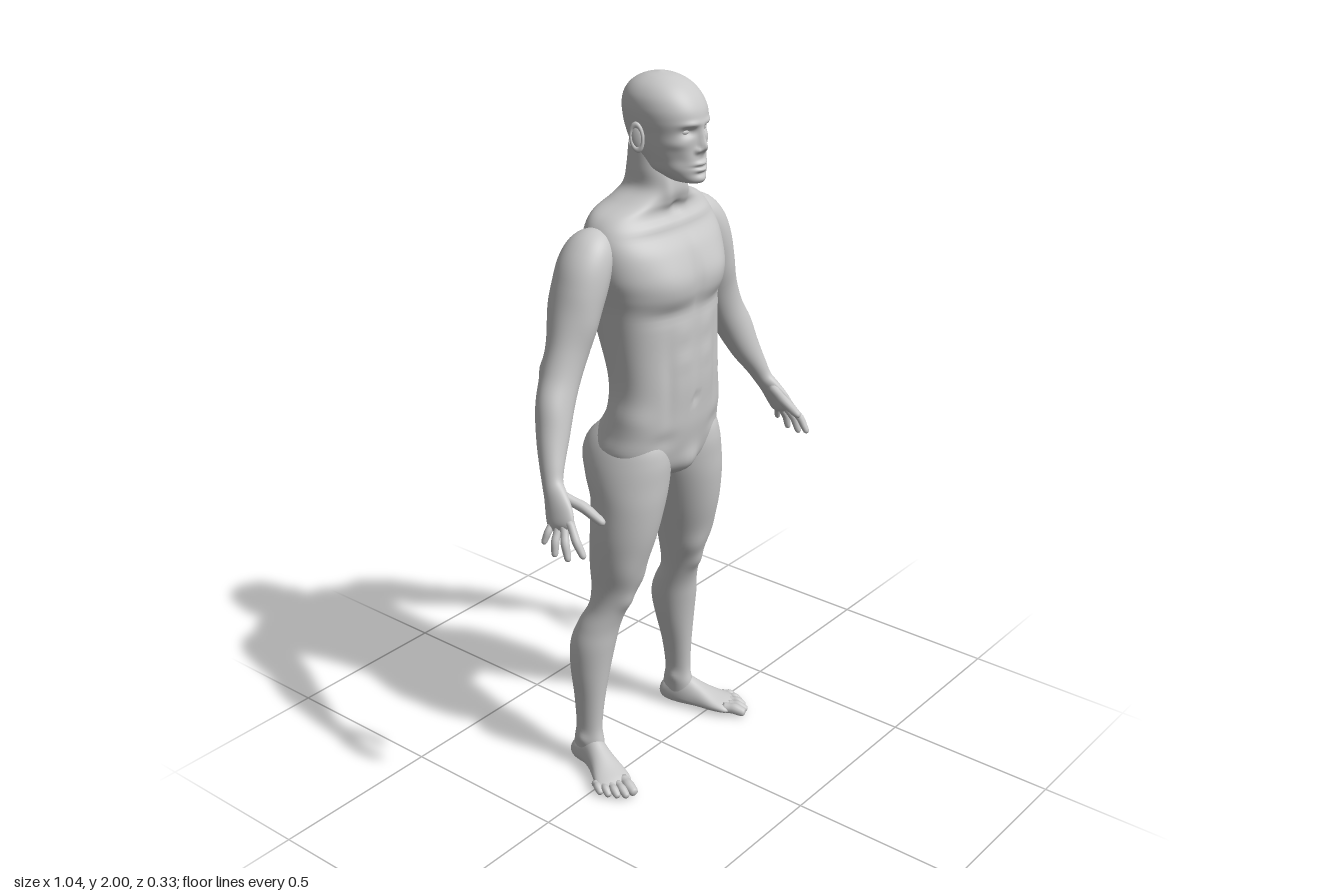
import * as THREE from 'three';

const skin = new THREE.MeshStandardMaterial({ color: 0xc8c8c8 });
skin.name = 'skin grey';
const V = (x, y, z) => new THREE.Vector3(x, y, z);

// Smooth skin over sections [x, y, z, halfWidth, frontDepth, backDepth].
// "front" is the direction of frontDepth; level sections stay horizontal.
function loft(sections, { segs = 40, steps = 6, power = 1, front = V(0, 0, 1), level = false } = {}) {
  const path = new THREE.CatmullRomCurve3(sections.map(s => V(s[0], s[1], s[2])), false, 'catmullrom');
  const size = new THREE.CatmullRomCurve3(sections.map(s => V(s[3], s[4], s[5])), false, 'catmullrom');
  const rows = (sections.length - 1) * steps, pos = [], idx = [];
  const bend = c => Math.sign(c) * Math.abs(c) ** power;
  for (let i = 0; i <= rows; i++) {
    const c = path.getPoint(i / rows), s = size.getPoint(i / rows);
    const t = path.getTangent(i / rows);
    if (level) t.set(0, Math.sign(t.y), 0);
    const v = front.clone().addScaledVector(t, -front.dot(t)).normalize();
    const u = v.clone().cross(t);
    for (let j = 0; j < segs; j++) {
      const a = (j / segs) * Math.PI * 2, sn = Math.sin(a);
      const depth = Math.max(0.001, sn > 0 ? s.y : s.z);
      const p = c.clone().addScaledVector(u, Math.max(0.001, s.x) * bend(Math.cos(a)))
        .addScaledVector(v, depth * bend(sn));
      pos.push(p.x, p.y, p.z);
    }
  }
  for (let i = 0; i < rows; i++) for (let j = 0; j < segs; j++) {
    const k = (j + 1) % segs, a = i * segs + j, b = i * segs + k;
    idx.push(a, b, b + segs, a, b + segs, a + segs);
  }
  // End caps
  const first = pos.length / 3, p0 = path.getPoint(0), p1 = path.getPoint(1);
  pos.push(p0.x, p0.y, p0.z, p1.x, p1.y, p1.z);
  for (let j = 0; j < segs; j++) {
    const k = (j + 1) % segs, e = rows * segs;
    idx.push(first, k, j, first + 1, e + j, e + k);
  }
  const g = new THREE.BufferGeometry();
  g.setAttribute('position', new THREE.Float32BufferAttribute(pos, 3));
  g.setIndex(idx);
  g.computeVertexNormals();
  return g;
}

// Swell or dent a surface: [x, y, z, rx, ry, rz, amount], mirrored in x.
function sculpt(g, bumps) {
  const p = g.attributes.position, n = g.attributes.normal;
  const all = bumps.flatMap(b => (b[0] ? [b, [-b[0], ...b.slice(1)]] : [b]));
  for (let i = 0; i < p.count; i++) {
    const x = p.getX(i), y = p.getY(i), z = p.getZ(i);
    let d = 0;
    for (const [bx, by, bz, rx, ry, rz, amt] of all)
      d += amt * Math.exp(-(((x - bx) / rx) ** 2) - ((y - by) / ry) ** 2 - ((z - bz) / rz) ** 2);
    p.setXYZ(i, x + n.getX(i) * d, y + n.getY(i) * d, z + n.getZ(i) * d);
  }
  g.computeVertexNormals();
  return g;
}

function mirrored(g) {
  const m = g.clone().scale(-1, 1, 1), a = m.index.array;
  for (let i = 0; i < a.length; i += 3) [a[i], a[i + 1]] = [a[i + 1], a[i]];
  m.computeVertexNormals();
  return m;
}

// Finger or toe through three points, with a rounded tip
function digit(a, b, c, r, front) {
  const A = V(...a), B = V(...b), C = V(...c);
  const at = (p, q, k, s) => [...p.clone().lerp(q, k).toArray(), r * s, r * s, r * s];
  return loft([at(A, B, 0, 1), at(A, B, 0.55, 0.93), at(B, C, 0, 1), at(B, C, 0.5, 0.9),
    at(B, C, 0.85, 0.75), at(B, C, 0.97, 0.4), at(B, C, 1, 0.05)], { segs: 12, steps: 3, front });
}

// Level section from its front and back positions
const slab = (y, rx, zf, zb, x = 0) => [x, y, (zf + zb) / 2, rx, (zf - zb) / 2, (zf - zb) / 2];

export function createModel() {
  const model = new THREE.Group();
  model.name = 'standing man';
  const add = (name, g) => {
    const m = new THREE.Mesh(g, skin);
    m.name = name;
    model.add(m);
  };
  const pair = (name, g) => {
    add('left ' + name, g);
    add('right ' + name, mirrored(g));
  };

  // Neck, chest, waist and pelvis
  const torso = loft([
    slab(1.82, 0.064, 0.03, -0.085), slab(1.76, 0.069, 0.05, -0.092), slab(1.71, 0.074, 0.058, -0.104),
    slab(1.678, 0.115, 0.052, -0.124), slab(1.65, 0.18, 0.045, -0.142), slab(1.61, 0.21, 0.066, -0.155),
    slab(1.56, 0.217, 0.1, -0.163), slab(1.5, 0.215, 0.118, -0.165), slab(1.45, 0.203, 0.121, -0.162),
    slab(1.4, 0.192, 0.115, -0.154), slab(1.3, 0.18, 0.117, -0.132), slab(1.2, 0.173, 0.121, -0.107),
    slab(1.12, 0.179, 0.117, -0.105), slab(1.06, 0.192, 0.113, -0.127), slab(1.0, 0.2, 0.102, -0.145),
    slab(0.95, 0.165, 0.088, -0.13), slab(0.915, 0.08, 0.06, -0.08), slab(0.9, 0.02, 0.02, -0.04),
  ], { segs: 112, steps: 6, power: 0.86, level: true });
  add('torso', sculpt(torso, [
    [0.085, 1.475, 0.11, 0.075, 0.06, 0.07, 0.013], // chest muscles
    [0.09, 1.395, 0.11, 0.075, 0.02, 0.06, -0.006],
    [0, 1.48, 0.12, 0.014, 0.08, 0.05, -0.009],
    [0.07, 1.62, 0.05, 0.09, 0.012, 0.06, 0.006], // collarbones
    [0, 1.655, 0.055, 0.018, 0.018, 0.04, -0.008],
    [0.035, 1.7, 0.05, 0.014, 0.05, 0.04, 0.005],
    [0, 1.24, 0.12, 0.012, 0.12, 0.05, -0.004], // stomach
    [0.095, 1.2, 0.1, 0.018, 0.12, 0.05, -0.005],
    [0.045, 1.34, 0.12, 0.03, 0.025, 0.05, 0.003],
    [0.045, 1.26, 0.12, 0.03, 0.025, 0.05, 0.003],
    [0, 1.14, 0.12, 0.009, 0.011, 0.04, -0.008],
    [0.17, 1.11, 0.03, 0.04, 0.035, 0.09, 0.006],
    [0.11, 1.04, 0.1, 0.04, 0.025, 0.05, -0.005],
    [0, 0.955, 0.08, 0.035, 0.04, 0.05, 0.016],
    [0, 1.36, -0.15, 0.022, 0.26, 0.08, -0.014], // spine and back
    [0.1, 1.53, -0.15, 0.06, 0.08, 0.06, 0.007],
    [0.15, 1.42, -0.11, 0.05, 0.09, 0.06, 0.008],
    [0.045, 1.2, -0.11, 0.03, 0.12, 0.05, 0.006],
    [0.09, 1.0, -0.14, 0.065, 0.06, 0.07, 0.02], // buttocks
    [0, 0.99, -0.14, 0.016, 0.07, 0.07, -0.025],
  ]));

  // Head with a modelled face
  const head = loft([
    slab(1.732, 0.018, 0.118, 0.07), slab(1.74, 0.04, 0.129, 0.03), slab(1.765, 0.058, 0.131, -0.015),
    slab(1.795, 0.071, 0.129, -0.055), slab(1.825, 0.079, 0.126, -0.083), slab(1.86, 0.085, 0.127, -0.098),
    slab(1.89, 0.09, 0.129, -0.104), slab(1.92, 0.091, 0.123, -0.106), slab(1.95, 0.084, 0.104, -0.098),
    slab(1.975, 0.066, 0.076, -0.078), slab(1.992, 0.038, 0.04, -0.046), slab(2.0, 0.004, 0, -0.006),
  ], { segs: 128, steps: 9, power: 0.94, level: true });
  add('head', sculpt(head, [
    [0.035, 1.867, 0.11, 0.018, 0.012, 0.04, -0.012], // eye sockets and brows
    [0.03, 1.887, 0.12, 0.024, 0.008, 0.04, 0.005],
    [0, 1.855, 0.13, 0.008, 0.022, 0.04, 0.01], // nose
    [0, 1.828, 0.13, 0.01, 0.017, 0.04, 0.02],
    [0.014, 1.819, 0.12, 0.007, 0.008, 0.03, 0.009],
    [0.052, 1.838, 0.09, 0.02, 0.014, 0.04, 0.004], // cheeks
    [0.05, 1.795, 0.09, 0.018, 0.02, 0.04, -0.005],
    [0, 1.785, 0.13, 0.02, 0.006, 0.04, 0.009], // lips and chin
    [0, 1.769, 0.13, 0.017, 0.006, 0.04, 0.009],
    [0, 1.777, 0.13, 0.024, 0.0025, 0.04, -0.006],
    [0, 1.759, 0.13, 0.02, 0.006, 0.04, -0.004],
    [0, 1.745, 0.13, 0.02, 0.01, 0.04, 0.005],
    [0.058, 1.768, 0.02, 0.02, 0.02, 0.04, 0.006],
  ]));
  const eye = new THREE.SphereGeometry(0.0135, 20, 14).scale(1.1, 0.65, 0.8);
  pair('eye', eye.translate(0.034, 1.867, 0.1));

  // Ears: a curled rim around a thin shell
  const place = g => g.rotateY(Math.PI / 2 - 0.35).rotateX(-0.12).translate(0.094, 1.848, -0.004);
  pair('ear rim', place(new THREE.TorusGeometry(0.02, 0.0055, 10, 32).scale(0.8, 1.55, 1)));
  pair('ear shell', place(new THREE.SphereGeometry(0.02, 20, 14).scale(0.75, 1.45, 0.25)));

  // Legs
  const leg = loft([
    slab(1.08, 0.05, 0.05, -0.09, 0.105), slab(1.03, 0.085, 0.085, -0.145, 0.107),
    slab(0.98, 0.103, 0.096, -0.164, 0.109), slab(0.92, 0.108, 0.095, -0.147, 0.115),
    slab(0.85, 0.1, 0.09, -0.12, 0.126), slab(0.75, 0.088, 0.073, -0.118, 0.139),
    slab(0.65, 0.07, 0.044, -0.12, 0.147), slab(0.58, 0.058, 0.02, -0.115, 0.152),
    slab(0.52, 0.055, -0.004, -0.118, 0.161), slab(0.46, 0.062, -0.024, -0.145, 0.174),
    slab(0.4, 0.065, -0.034, -0.163, 0.185), slab(0.32, 0.056, -0.045, -0.163, 0.193),
    slab(0.22, 0.039, -0.055, -0.15, 0.201), slab(0.13, 0.031, -0.06, -0.143, 0.206),
    slab(0.08, 0.033, -0.052, -0.15, 0.207), slab(0.03, 0.03, -0.055, -0.155, 0.207),
    slab(0.01, 0.022, -0.07, -0.14, 0.207),
  ], { segs: 48, level: true });
  pair('leg', sculpt(leg, [
    [0.158, 0.545, 0.01, 0.025, 0.028, 0.04, 0.007], // kneecap
    [0.12, 0.62, 0.02, 0.03, 0.04, 0.05, 0.006], // thigh muscles
    [0.19, 0.66, 0.02, 0.03, 0.05, 0.05, 0.005],
    [0.155, 0.54, -0.12, 0.025, 0.05, 0.04, -0.005],
    [0.15, 0.4, -0.14, 0.025, 0.06, 0.04, 0.005], // calf
    [0.175, 0.105, -0.1, 0.015, 0.018, 0.02, 0.006], // ankle bones
    [0.24, 0.095, -0.105, 0.015, 0.018, 0.02, 0.006],
  ]));

  // Feet and toes
  const up = V(0, 1, 0);
  pair('foot', loft([
    [0.203, 0.035, -0.162, 0.008, 0.01, 0.012], [0.204, 0.035, -0.152, 0.026, 0.026, 0.026],
    [0.206, 0.035, -0.13, 0.034, 0.045, 0.034], [0.212, 0.035, -0.085, 0.036, 0.065, 0.033],
    [0.228, 0.03, -0.04, 0.04, 0.05, 0.026], [0.25, 0.026, 0.01, 0.05, 0.026, 0.025],
    [0.267, 0.02, 0.042, 0.052, 0.016, 0.018], [0.276, 0.018, 0.06, 0.038, 0.008, 0.012],
  ], { front: up, segs: 32 }));
  [[0.238, 0.05, 0.262, 0.115, 0.0165], [0.262, 0.05, 0.285, 0.106, 0.0125], [0.28, 0.04, 0.301, 0.086, 0.012],
    [0.293, 0.022, 0.313, 0.063, 0.0115], [0.3, 0, 0.319, 0.038, 0.0115]].forEach(([x, z, tx, tz, r], i) =>
    pair('toe ' + (i + 1), digit([x, 0.021, z], [(x + tx) / 2 + 0.002, 0.022, (z + tz) / 2],
      [tx, r * 0.85, tz], r, up)));

  // Arms from shoulder to palm
  const arm = loft([
    [0.165, 1.605, -0.055, 0.02, 0.03, 0.03], [0.205, 1.582, -0.055, 0.053, 0.06, 0.065],
    [0.238, 1.54, -0.055, 0.065, 0.072, 0.077], [0.262, 1.48, -0.056, 0.065, 0.073, 0.075],
    [0.288, 1.41, -0.054, 0.063, 0.062, 0.066], [0.316, 1.335, -0.052, 0.058, 0.052, 0.058],
    [0.345, 1.27, -0.052, 0.055, 0.05, 0.052], [0.375, 1.21, -0.045, 0.052, 0.049, 0.049],
    [0.411, 1.13, -0.024, 0.043, 0.041, 0.043], [0.439, 1.07, -0.004, 0.031, 0.033, 0.034],
    [0.455, 1.03, 0.011, 0.024, 0.029, 0.029], [0.466, 1.0, 0.03, 0.021, 0.036, 0.034],
    [0.477, 0.967, 0.05, 0.018, 0.043, 0.042], [0.485, 0.942, 0.063, 0.015, 0.042, 0.042],
    [0.489, 0.928, 0.069, 0.008, 0.033, 0.033],
  ], { segs: 44 });
  pair('arm', sculpt(arm, [
    [0.305, 1.5, -0.04, 0.04, 0.06, 0.06, 0.005], // shoulder cap
    [0.29, 1.4, 0.01, 0.04, 0.06, 0.04, 0.006], // biceps
    [0.31, 1.43, -0.12, 0.04, 0.06, 0.04, 0.006], // triceps
    [0.36, 1.285, -0.1, 0.022, 0.025, 0.025, 0.006], // elbow
    [0.42, 1.21, -0.03, 0.03, 0.05, 0.04, 0.005],
  ]));

  // Fingers and thumb
  const ahead = V(0, 0, 1);
  [['index finger', [0.481, 0.955, 0.09], [0.494, 0.914, 0.122], [0.494, 0.874, 0.148], 0.0115],
    ['middle finger', [0.485, 0.943, 0.074], [0.504, 0.903, 0.093], [0.51, 0.859, 0.108], 0.0115],
    ['ring finger', [0.485, 0.938, 0.056], [0.507, 0.9, 0.062], [0.515, 0.861, 0.066], 0.011],
    ['little finger', [0.48, 0.947, 0.036], [0.503, 0.917, 0.034], [0.514, 0.885, 0.027], 0.0098],
    ['thumb', [0.457, 1.005, 0.042], [0.438, 0.982, 0.1], [0.431, 0.951, 0.162], 0.0145],
  ].forEach(([name, a, b, c, r]) => pair(name, digit(a, b, c, r, name === 'thumb' ? up : ahead)));

  return model;
}
